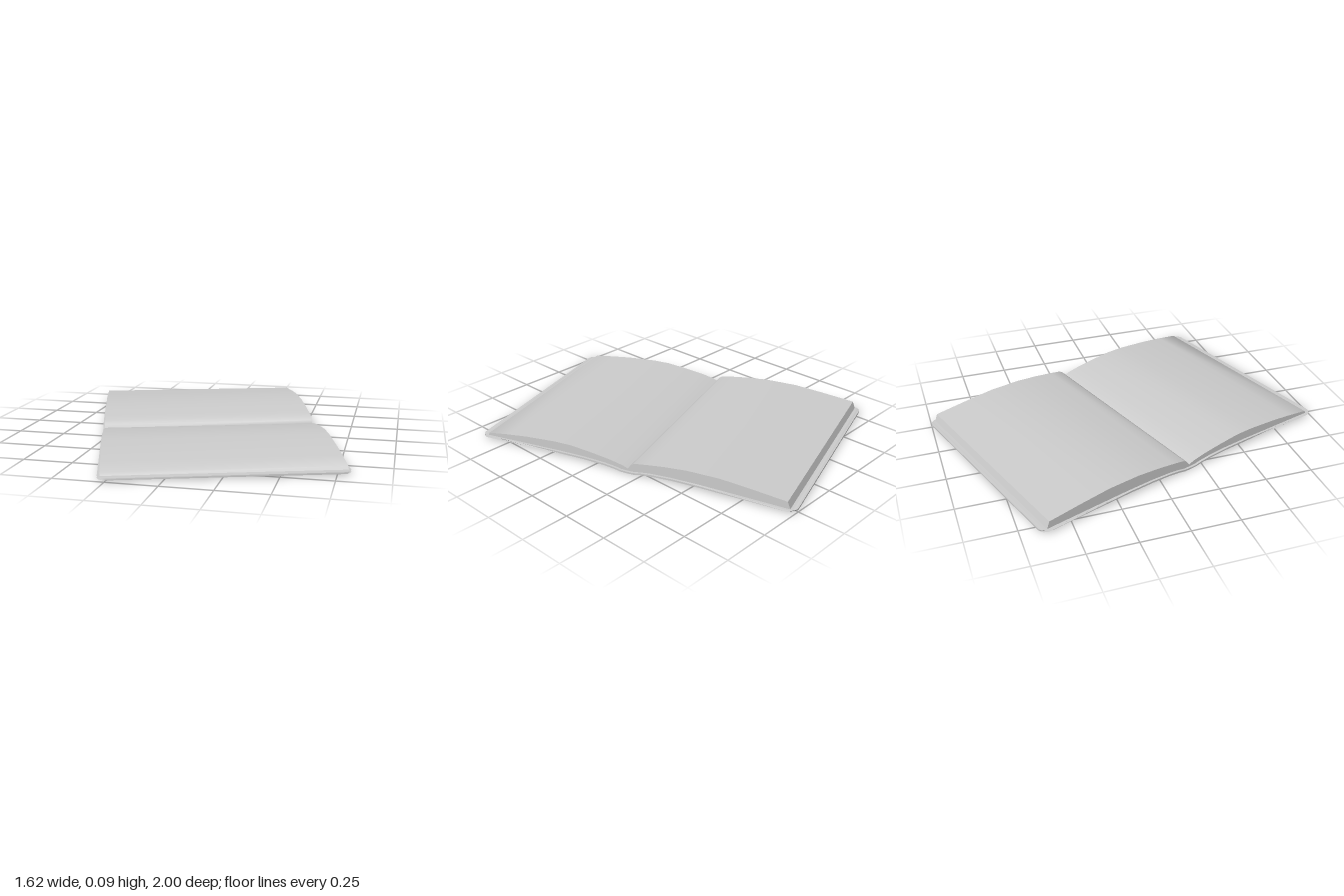
import * as THREE from 'three';
import { toCreasedNormals } from 'three/addons/utils/BufferGeometryUtils.js';

const material = new THREE.MeshStandardMaterial({ color: 0xcccccc });

// Underside of the cover from spine to fore edge: [distance, height]
const COVER_CURVE = [[0, 0], [0.035, 0.001], [0.07, 0.008], [0.13, 0.015], [0.24, 0.02],
  [0.38, 0.02], [0.6, 0.015], [0.832, 0.009], [0.873, 0.008]];
const THICKNESS = 0.009;
const COVER_HALF_LENGTH = 0.873, COVER_HALF_WIDTH = 0.58, CORNER = 0.042;
const PAGE_HALF_WIDTH = 0.568;

function coverHeight(z) {
  const d = Math.min(Math.abs(z), COVER_HALF_LENGTH);
  const i = Math.max(1, COVER_CURVE.findIndex(([t]) => t >= d - 1e-9));
  const [a, ya] = COVER_CURVE[i - 1], [b, yb] = COVER_CURVE[i];
  return THREE.MathUtils.lerp(ya, yb, (d - a) / (b - a));
}

// Sweep a side profile (z, y) across x, with a half width that may vary along z
function sweep(name, profile, halfWidth) {
  const shape = new THREE.Shape(profile.map(([z, y]) => new THREE.Vector2(z, y)));
  const geometry = new THREE.ExtrudeGeometry(shape, { depth: 1, bevelEnabled: false });
  geometry.translate(0, 0, -0.5).rotateY(-Math.PI / 2);
  const p = geometry.attributes.position;
  for (let i = 0; i < p.count; i++) p.setX(i, Math.sign(p.getX(i)) * halfWidth(p.getZ(i)));
  const mesh = new THREE.Mesh(toCreasedNormals(geometry, 0.9), material);
  mesh.name = name;
  return mesh;
}

// Thin arched cover with rounded corners
function makeCover() {
  const distances = COVER_CURVE.map(([d]) => d).filter((d) => d < COVER_HALF_LENGTH - CORNER);
  for (let i = 0; i <= 6; i++) {
    distances.push(COVER_HALF_LENGTH - CORNER + CORNER * Math.sin((i / 6) * Math.PI / 2));
  }
  const stations = [...distances.slice(1).reverse().map((d) => -d), ...distances];
  const bottom = stations.map((z) => [z, coverHeight(z)]);
  const top = bottom.map(([z, y]) => [z, y + THICKNESS]).reverse();
  return sweep('cover', [...bottom, ...top], (z) => {
    const t = Math.max(0, Math.abs(z) - (COVER_HALF_LENGTH - CORNER));
    return COVER_HALF_WIDTH - CORNER + Math.sqrt(Math.max(0, CORNER * CORNER - t * t));
  });
}

// Page block resting on the cover; top runs from gutter to fore edge
function makePages(name, side, top, foreEdge) {
  const bottom = COVER_CURVE.map(([d]) => d).filter((d) => d < 0.8);
  bottom.push(foreEdge);
  const profile = [
    ...top.map(([d, y]) => [side * d, y]),
    ...bottom.reverse().map((d) => [side * d, coverHeight(d) + THICKNESS - 0.001]),
  ];
  return sweep(name, profile, () => PAGE_HALF_WIDTH);
}

export function createModel() {
  const book = new THREE.Group();
  book.name = 'openBook';
  book.add(makeCover());
  // Thicker half, dropping steeply into the gutter
  book.add(makePages('backPages', -1, [[0, 0.022], [0.015, 0.042], [0.035, 0.057], [0.1, 0.067],
    [0.2, 0.08], [0.32, 0.09], [0.49, 0.09], [0.65, 0.075], [0.828, 0.055]], 0.842));
  // Thinner half, rising gently from the gutter
  book.add(makePages('frontPages', 1, [[0, 0.022], [0.03, 0.033], [0.1, 0.048], [0.2, 0.062],
    [0.32, 0.075], [0.42, 0.075], [0.59, 0.063], [0.71, 0.049], [0.828, 0.032]], 0.838));
  book.rotation.y = THREE.MathUtils.degToRad(18);

  const model = new THREE.Group();
  model.add(book);
  return model;
}
